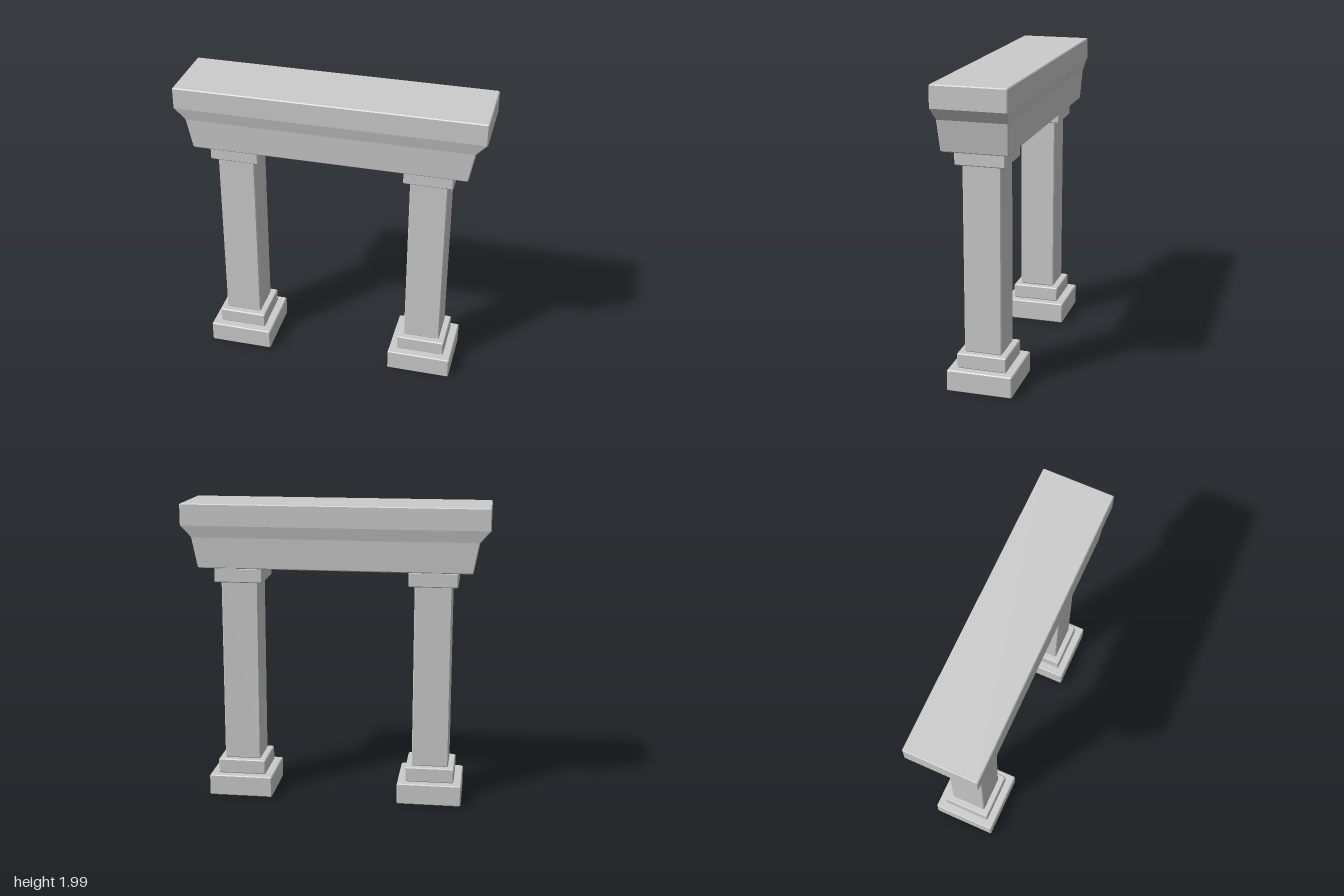
import * as THREE from 'three';

const material = new THREE.MeshStandardMaterial({ color: 0xcccccc, flatShading: true });
const BEVEL = 0.006;

// Rectangle outline with clipped corners, running counter-clockwise from above
function outline(hx, hz, y) {
  const b = BEVEL;
  return [
    [-hx + b, hz], [hx - b, hz], [hx, hz - b], [hx, -hz + b],
    [hx - b, -hz], [-hx + b, -hz], [-hx, -hz + b], [-hx, hz - b],
  ].map(([x, z]) => [x, y, z]);
}

// Closed block lofted through levels of [halfWidth, halfDepth, y], with bevelled rims
function block(name, levels) {
  const first = levels[0], last = levels[levels.length - 1];
  const inset = ([hx, hz, y]) => outline(hx - BEVEL, hz - BEVEL, y);
  const rings = [
    inset(first),
    outline(first[0], first[1], first[2] + BEVEL),
    ...levels.slice(1, -1).map((l) => outline(...l)),
    outline(last[0], last[1], last[2] - BEVEL),
    inset(last),
  ];
  const n = 8, index = [];
  const positions = rings.flat(2);
  for (let i = 0; i < rings.length - 1; i++) {
    for (let j = 0; j < n; j++) {
      const a = i * n + j, b = i * n + (j + 1) % n;
      index.push(a, b, a + n, b, b + n, a + n);
    }
  }
  const top = (rings.length - 1) * n;
  for (let j = 1; j < n - 1; j++) {
    index.push(0, j + 1, j, top, top + j, top + j + 1);
  }
  const indexed = new THREE.BufferGeometry();
  indexed.setAttribute('position', new THREE.Float32BufferAttribute(positions, 3));
  indexed.setIndex(index);
  const geometry = indexed.toNonIndexed();
  geometry.computeVertexNormals();
  const mesh = new THREE.Mesh(geometry, material);
  mesh.name = name;
  return mesh;
}

// Square block of one column
const square = (name, half, y0, y1) => block(name, [[half, half, y0], [half, half, y1]]);

function column(name, x) {
  const group = new THREE.Group();
  group.name = name;
  group.add(
    square('plinth', 0.214, 0, 0.142),
    square('baseStep', 0.162, 0.142, 0.242),
    square('shaft', 0.122, 0.242, 1.468),
    square('capital', 0.16, 1.468, 1.565),
  );
  group.position.x = x;
  return group;
}

export function createModel() {
  const model = new THREE.Group();
  model.name = 'gateway';

  // Pair of square columns
  model.add(column('leftColumn', 0.639), column('rightColumn', -0.639));

  // Lintel flaring out to a straight cornice
  model.add(block('lintel', [
    [0.895, 0.212, 1.57],
    [0.932, 0.222, 1.772],
    [1.0, 0.238, 1.85],
    [1.0, 0.238, 1.992],
  ]));

  return model;
}
